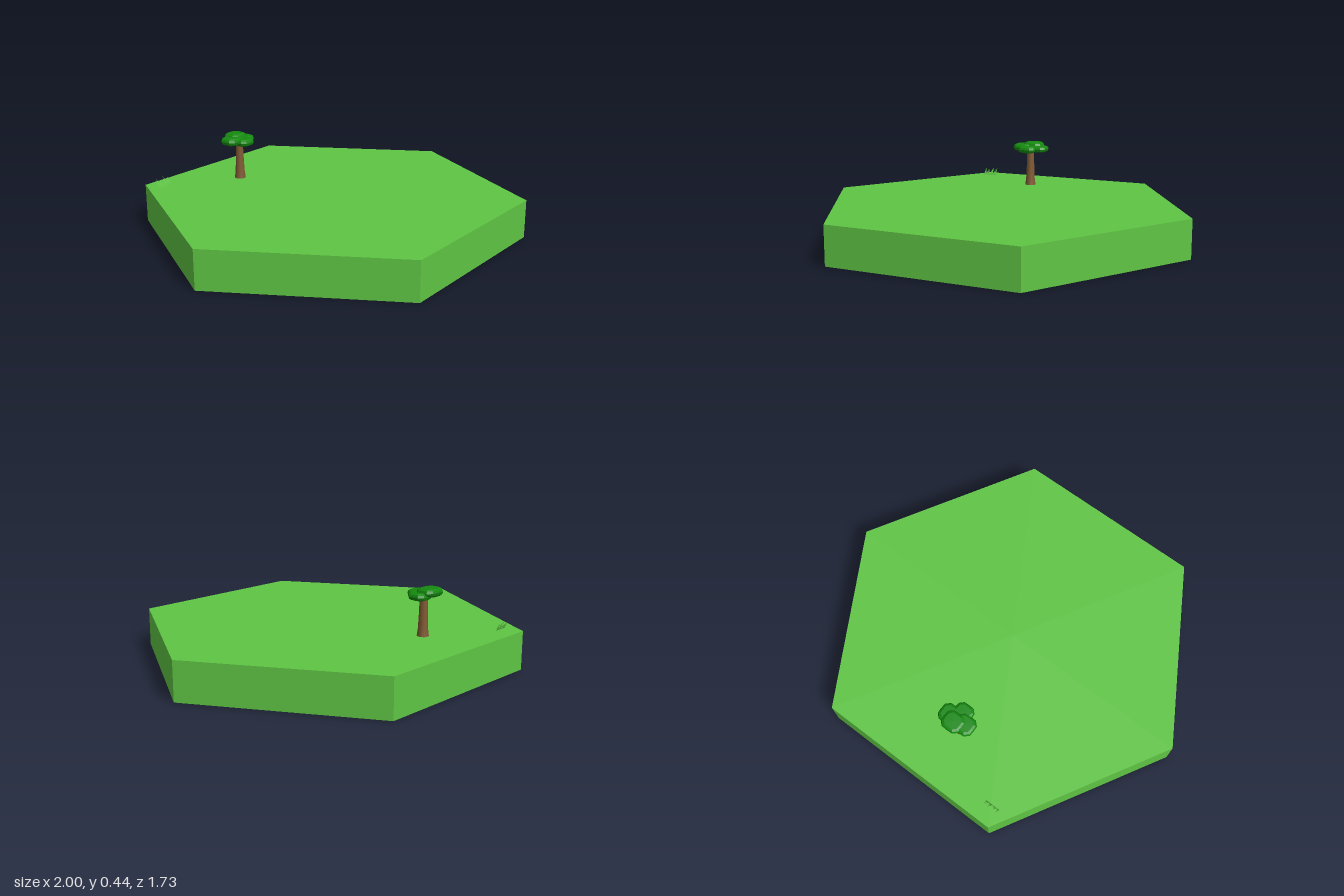
import * as THREE from 'three';

const GREEN = 0x5fc544, BARK = 0x805a32, LEAF = 0x148a0e;

function part(name, geometry, color, options = {}) {
  const mesh = new THREE.Mesh(geometry, new THREE.MeshStandardMaterial({ color, ...options }));
  mesh.name = name;
  return mesh;
}

// Flat leaf pad with bevelled rims, a rounded-square outline and unit size
function padGeometry() {
  const profile = [[0, -0.5], [0.36, -0.5], [0.46, -0.33], [0.5, 0], [0.46, 0.3], [0.36, 0.48], [0, 0.5]];
  const geometry = new THREE.LatheGeometry(profile.map(([r, y]) => new THREE.Vector2(r, y)), 12);
  const pos = geometry.attributes.position;
  for (let i = 0; i < pos.count; i++) {
    const x = pos.getX(i), z = pos.getZ(i);
    const r = Math.hypot(x, z);
    if (r < 1e-6) continue;
    // Push the outline outwards towards a rounded square
    const k = r / Math.pow(x ** 4 + z ** 4, 0.25);
    pos.setX(i, x * k);
    pos.setZ(i, z * k);
  }
  return geometry;
}

// Curved, tapering grass blade that leans backwards
function bladeGeometry(width, height, lean, drift) {
  const points = [], index = [];
  const rows = 3;
  for (let i = 0; i <= rows; i++) {
    const t = i / rows, half = width * (1 - t) / 2;
    const x = drift * t * t, z = -lean * (0.5 * t + 0.5 * t * t);
    points.push(x - half, height * t, z, x + half, height * t, z);
    if (i < rows) {
      const a = i * 2;
      index.push(a, a + 1, a + 3, a, a + 3, a + 2);
    }
  }
  const geometry = new THREE.BufferGeometry();
  geometry.setAttribute('position', new THREE.Float32BufferAttribute(points, 3));
  geometry.setIndex(index);
  geometry.computeVertexNormals();
  return geometry;
}

export function createModel() {
  const model = new THREE.Group();
  model.name = 'hexagonalTile';

  // Hexagonal ground with corners on the x axis
  const ground = part('ground', new THREE.CylinderGeometry(1, 1, 0.2, 6, 1, false, Math.PI / 6), GREEN, { flatShading: true });
  ground.position.y = 0.1;
  model.add(ground);

  // Tree: flared trunk under overlapping leaf pads
  const tree = new THREE.Group();
  tree.name = 'tree';
  tree.position.set(-0.09, 0.2, -0.558);
  const trunkProfile = [[0.03, 0], [0.025, 0.035], [0.022, 0.1], [0.019, 0.21]];
  tree.add(part('trunk', new THREE.LatheGeometry(trunkProfile.map(([r, y]) => new THREE.Vector2(r, y)), 10), BARK));
  const pads = [
    // centre x, y, z, then width, height, depth
    ['leftPad', 0.045, 0.209, -0.01, 0.105, 0.036, 0.1],
    ['rightPad', -0.046, 0.215, -0.009, 0.11, 0.04, 0.1],
    ['frontPad', -0.003, 0.208, 0.033, 0.1, 0.038, 0.1],
    ['backPad', 0.005, 0.226, -0.033, 0.11, 0.038, 0.1],
  ];
  for (const [name, x, y, z, w, h, d] of pads) {
    const pad = part(name, padGeometry(), LEAF, { flatShading: true });
    pad.position.set(x, y, z);
    pad.scale.set(w, h, d);
    tree.add(pad);
  }
  model.add(tree);

  // Grass tuft: a short row of blades
  const grass = new THREE.Group();
  grass.name = 'grassTuft';
  grass.position.set(-0.453, 0.2, -0.765);
  const blades = [
    // x, height, sideways drift
    [-0.034, 0.047, -0.004], [-0.022, 0.034, 0.006], [-0.01, 0.032, -0.005],
    [0.003, 0.036, 0.006], [0.013, 0.05, -0.003], [0.025, 0.035, 0.005], [0.034, 0.044, 0.004],
  ];
  for (const [x, height, drift] of blades) {
    const blade = part('grassBlade', bladeGeometry(0.013, height, height * 0.6, drift), GREEN, { side: THREE.DoubleSide });
    blade.position.x = x;
    grass.add(blade);
  }
  model.add(grass);

  return model;
}
